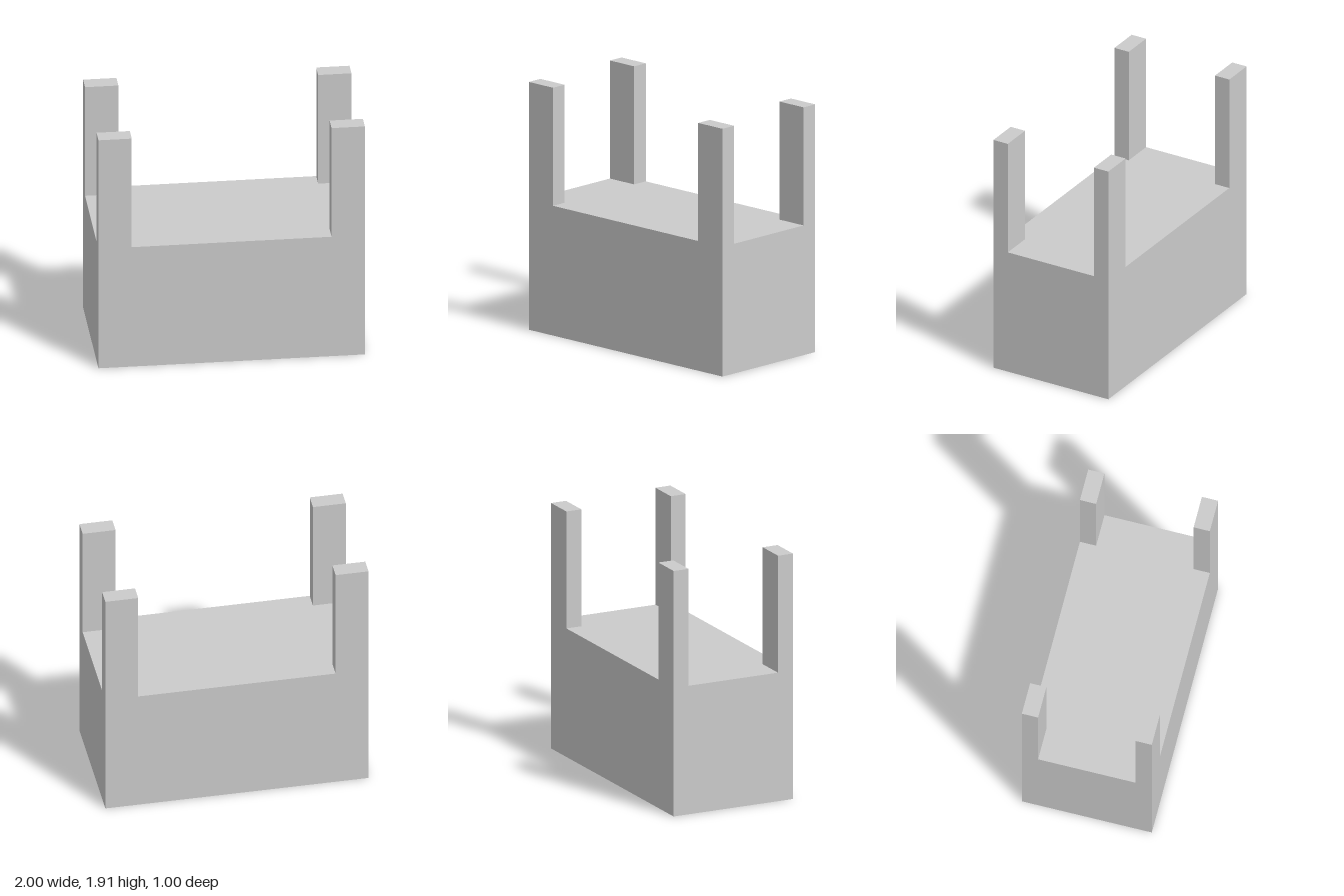
import * as THREE from 'three';

const WIDTH = 2, DEPTH = 1, BODY_H = 1;
const POST_W = 0.25, POST_D = 0.125, POST_H = 0.91;

export function createModel() {
  const model = new THREE.Group();
  model.name = 'blockWithPosts';
  const material = new THREE.MeshStandardMaterial({ color: 0xcccccc, flatShading: true });

  // Solid base block
  const body = new THREE.Mesh(new THREE.BoxGeometry(WIDTH, BODY_H, DEPTH), material);
  body.name = 'body';
  body.position.y = BODY_H / 2;
  model.add(body);

  // Four corner posts, flush with the outer sides of the block
  const postGeometry = new THREE.BoxGeometry(POST_W, POST_H, POST_D);
  for (const [sx, side] of [[1, 'Left'], [-1, 'Right']]) {
    for (const [sz, end] of [[1, 'front'], [-1, 'back']]) {
      const post = new THREE.Mesh(postGeometry, material);
      post.name = `${end}${side}Post`;
      post.position.set(
        sx * (WIDTH - POST_W) / 2,
        BODY_H + POST_H / 2,
        sz * (DEPTH - POST_D) / 2
      );
      model.add(post);
    }
  }

  return model;
}
